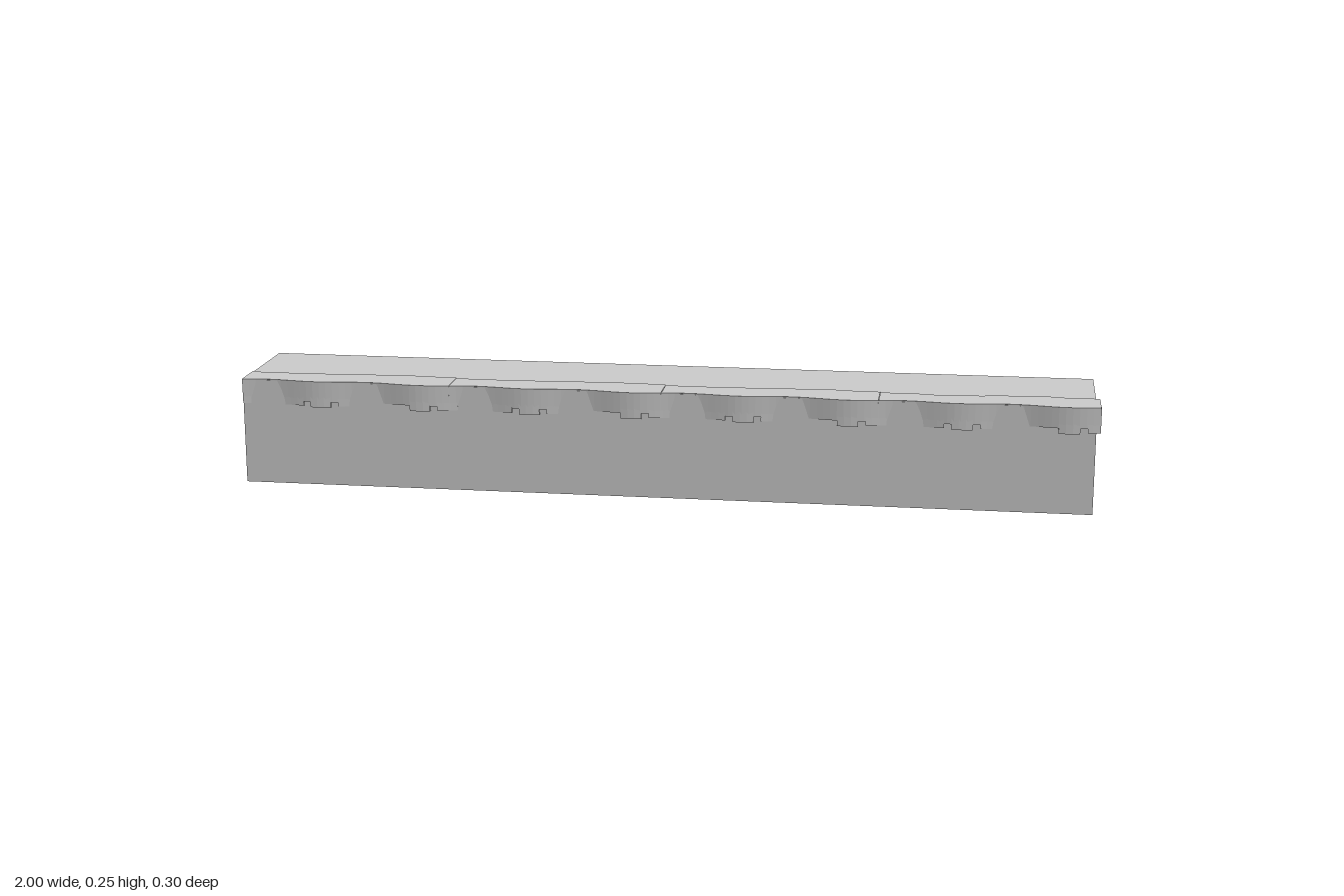
import * as THREE from 'three';

const material = new THREE.MeshStandardMaterial({ color: 0xcccccc, flatShading: true, side: THREE.DoubleSide });

// Gentle wave of the front lip, two bumps per half-unit module
const lip = x => 0.142 + 0.006 * Math.cos((x - 0.93) * Math.PI * 8) + 0.0015 * Math.cos((x - 0.93) * Math.PI * 4);
// Ragged rear edge of the top slab
const rear = x => 0.06 + 0.007 * Math.sin(x * Math.PI * 4) + 0.003 * Math.sin(x * Math.PI * 20);

// Sweeps a closed [z, y] section along x, with capped ends
function sweep(name, x0, x1, steps, section) {
  const positions = [], index = [];
  const n = section(x0).length;
  for (let i = 0; i <= steps; i++) {
    const x = x0 + (x1 - x0) * i / steps;
    for (const [z, y] of section(x)) positions.push(x, y, z);
  }
  for (let i = 0; i < steps; i++) {
    for (let j = 0; j < n; j++) {
      const a = i * n + j, b = i * n + (j + 1) % n;
      index.push(a, b, a + n, b, b + n, a + n);
    }
  }
  const caps = THREE.ShapeUtils.triangulateShape(section(x0).map(p => new THREE.Vector2(...p)), []);
  const last = steps * n;
  for (const [a, b, c] of caps) index.push(a, b, c, last + a, last + c, last + b);
  const geometry = new THREE.BufferGeometry();
  geometry.setAttribute('position', new THREE.Float32BufferAttribute(positions, 3));
  geometry.setIndex(index);
  geometry.computeVertexNormals();
  const mesh = new THREE.Mesh(geometry, material);
  mesh.name = name;
  return mesh;
}

function sheet(name, width, height) {
  const mesh = new THREE.Mesh(new THREE.PlaneGeometry(width, height), material);
  mesh.name = name;
  return mesh;
}

export function createModel() {
  const group = new THREE.Group();
  group.name = 'ledge';

  // Flat ground sheet and vertical wall sheet
  const ground = sheet('groundSheet', 1.99, 0.287);
  ground.rotation.x = -Math.PI / 2;
  ground.position.set(-0.005, 0.25, -0.0065);
  const wall = sheet('wallSheet', 1.99, 0.25);
  wall.position.set(-0.005, 0.125, 0.137);
  group.add(ground, wall);

  // Four wavy trim modules: thin slab on top, tapering band in front
  for (let m = 0; m < 4; m++) {
    const x0 = -1 + m * 0.5;
    group.add(sweep('trimModule', x0, x0 + 0.499, 32, x => [
      [rear(x), 0.2525], [lip(x), 0.2525], [lip(x) - 0.002, 0.203],
      [0.125, 0.203], [0.108, 0.247], [rear(x), 0.247]
    ]));
  }

  // Clusters of six tapered blocks hanging below the band
  for (let m = 0; m < 5; m++) {
    for (let i = 0; i < 6; i++) {
      const centre = -1.07 + m * 0.5 + i * 0.065;
      const x0 = Math.max(-1, centre - 0.024), x1 = Math.min(1, centre + 0.024);
      if (x1 - x0 < 0.01) continue;
      const drop = 0.19 + (i % 2) * 0.003;
      group.add(sweep('hangingBlock', x0, x1, 3, x => [
        [0.101, 0.249], [lip(x) - 0.001, 0.249], [lip(x) - 0.002, drop], [0.124, drop]
      ]));
    }
  }
  return group;
}
